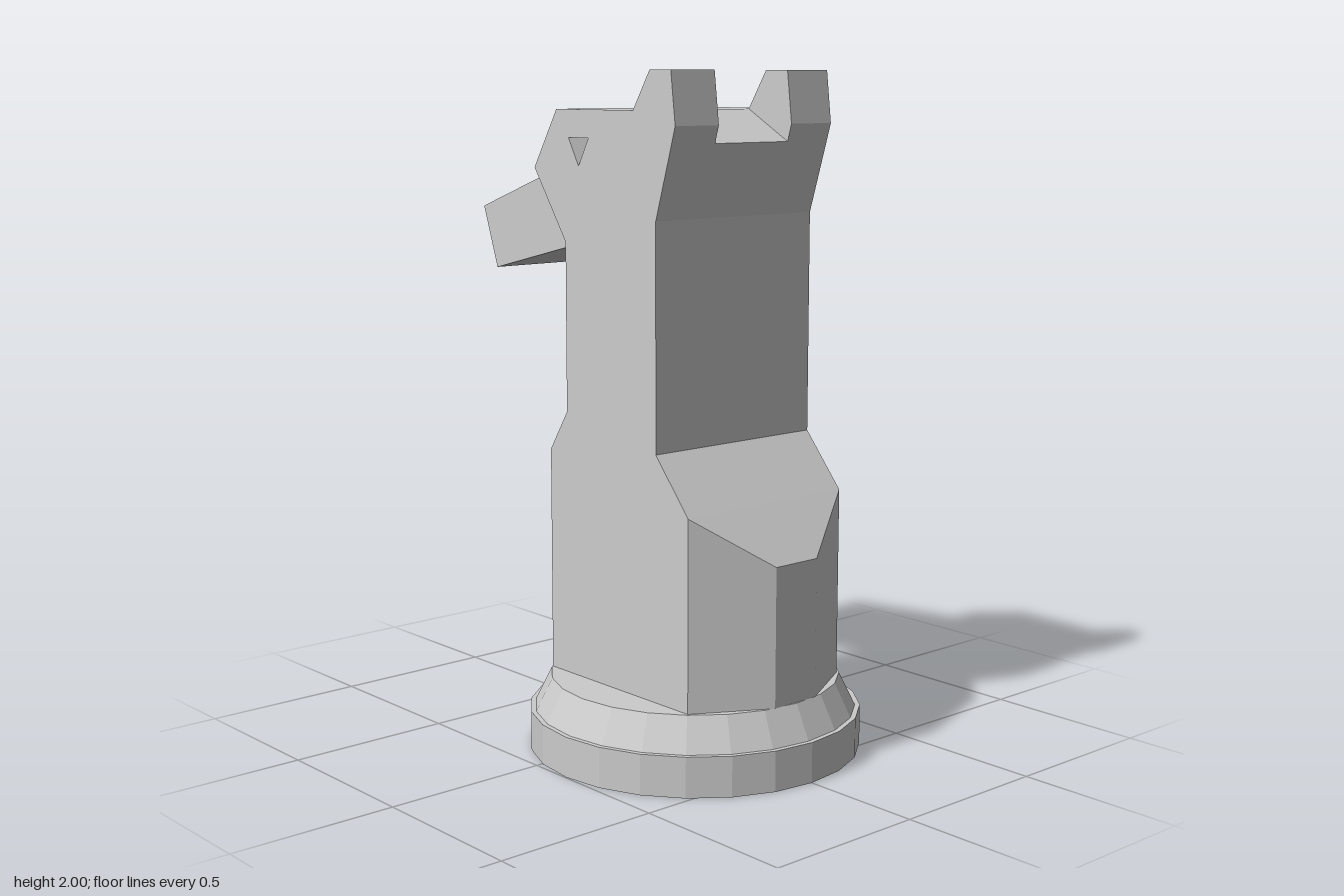
import * as THREE from 'three';
import { ConvexGeometry } from 'three/addons/geometries/ConvexGeometry.js';

const material = new THREE.MeshStandardMaterial({ color: 0xcccccc, flatShading: true });
const toVectors = (points) => points.map(([z, y]) => new THREE.Vector2(z, y));

function part(name, geometry) {
  const mesh = new THREE.Mesh(geometry, material);
  mesh.name = name;
  return mesh;
}

// Extrudes a side profile of [z, y] points between x0 and x1
function sideExtrude(profile, x0, x1, hole) {
  const shape = new THREE.Shape(toVectors(profile));
  if (hole) shape.holes.push(new THREE.Path(toVectors(hole)));
  const geometry = new THREE.ExtrudeGeometry(shape, { depth: x1 - x0, bevelEnabled: false });
  return geometry.rotateY(-Math.PI / 2).translate(x1, 0, 0);
}

// Tapering end of the lower body, from cross-sections [z, half width, top height]
function taperedEnd(sections, bottom) {
  const points = [];
  for (const [z, w, top] of sections) {
    for (const x of [-w, w]) {
      points.push(new THREE.Vector3(x, bottom, z), new THREE.Vector3(x, top, z));
    }
  }
  return new ConvexGeometry(points);
}

export function createModel() {
  const model = new THREE.Group();
  model.name = 'horseChessPiece';
  const baseTop = 0.22, halfWidth = 0.3;

  // Stepped round base
  const baseProfile = [[0, 0], [0.497, 0], [0.497, 0.12], [0.482, 0.12], [0.433, baseTop], [0, baseTop]];
  const base = part('base', new THREE.LatheGeometry(toVectors(baseProfile), 24));
  base.position.z = 0.133;
  model.add(base);

  // Body, neck and head in one profile, with the eye cut right through
  const bodyProfile = [
    [0.435, baseTop], [0.435, 0.78], [0.3, 0.94], [0.3, 1.59], [0.365, 1.8],
    [0.205, 1.89], [-0.135, 1.89], [-0.24, 1.72], [-0.097, 1.51],
    [-0.097, 1.012], [-0.175, 0.89], [-0.175, baseTop],
  ];
  const eye = [[0.01, 1.81], [-0.08, 1.81], [-0.035, 1.73]];
  model.add(part('bodyAndHead', sideExtrude(bodyProfile, -halfWidth, halfWidth, eye)));

  // Chest and rump narrow towards the rim of the base
  model.add(part('chest', taperedEnd([[0.435, halfWidth, 0.78], [0.56, 0.08, 0.63]], baseTop)));
  model.add(part('rump', taperedEnd([[-0.175, halfWidth, 0.89], [-0.303, 0.08, 0.69]], baseTop)));

  // Ears
  const earProfile = [[0.365, 1.8], [0.38, 1.85], [0.362, 2], [0.275, 2], [0.205, 1.89]];
  model.add(part('leftEar', sideExtrude(earProfile, 0.14, halfWidth)));
  model.add(part('rightEar', sideExtrude(earProfile, -halfWidth, -0.14)));

  // Muzzle
  const muzzleProfile = [[-0.24, 1.72], [-0.63, 1.585], [-0.565, 1.398], [-0.097, 1.51]];
  model.add(part('muzzle', sideExtrude(muzzleProfile, -0.2, 0.2)));

  return model;
}
